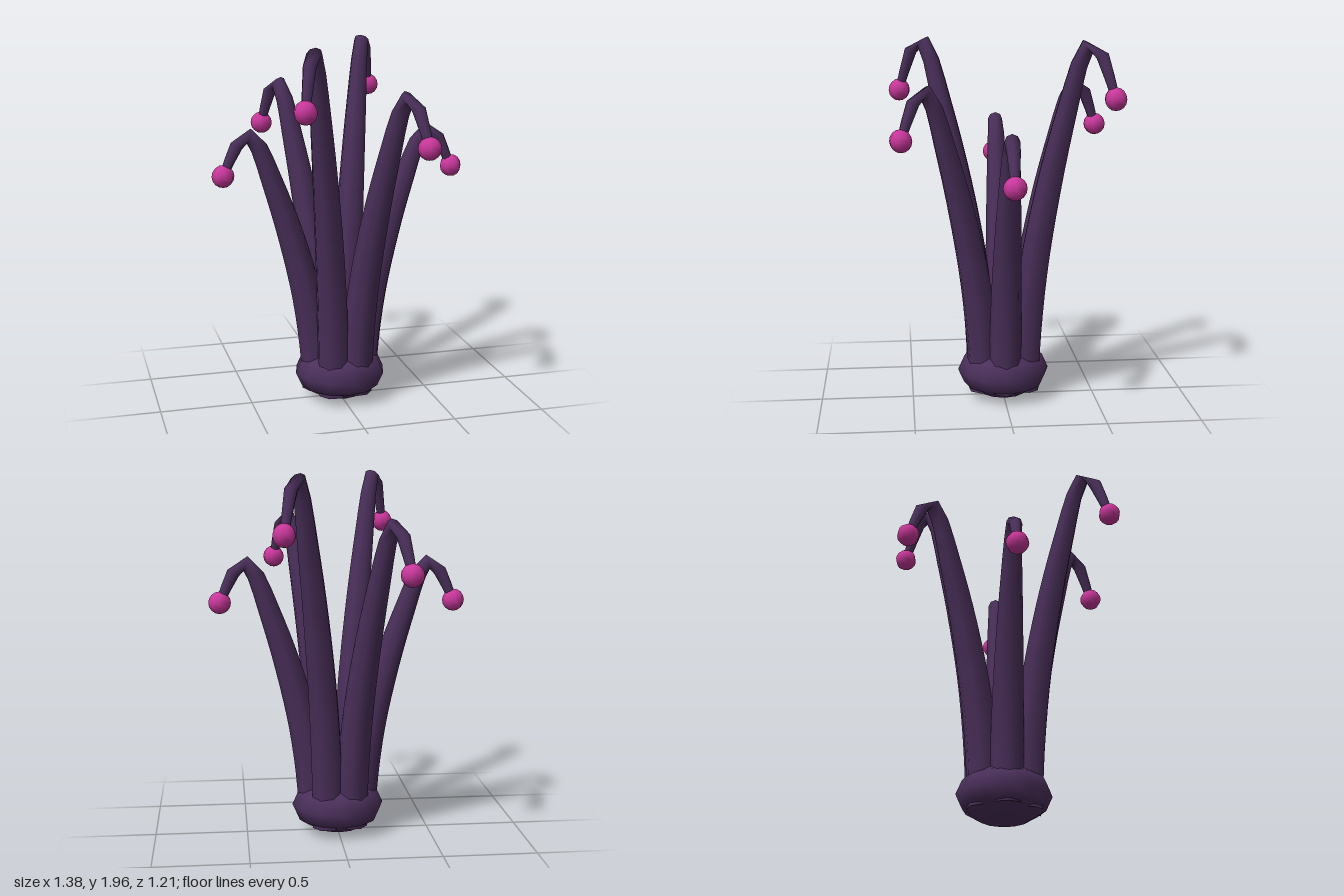
import * as THREE from 'three';

const purple = new THREE.MeshStandardMaterial({ color: 0x4a2f5a });
purple.name = 'dark purple';
const pink = new THREE.MeshStandardMaterial({ color: 0xc8379b });
pink.name = 'pink';

const BASE_Y = 0.1;
// Radial distance and height of the shortest tentacle's centre line
const PATH = [[0.125, 0.07], [0.14, 0.3], [0.185, 0.6], [0.265, 0.92], [0.355, 1.2],
  [0.455, 1.455], [0.495, 1.488], [0.54, 1.46], [0.63, 1.28]];

// Tapered tube following a curve
function taperedTube(curve, segments, sides, radiusAt) {
  const geo = new THREE.TubeGeometry(curve, segments, 1, sides);
  const pos = geo.attributes.position;
  const v = new THREE.Vector3();
  for (let i = 0; i <= segments; i++) {
    const centre = curve.getPointAt(i / segments);
    for (let j = 0; j <= sides; j++) {
      const k = i * (sides + 1) + j;
      v.fromBufferAttribute(pos, k).sub(centre).multiplyScalar(radiusAt(i / segments)).add(centre);
      pos.setXYZ(k, v.x, v.y, v.z);
    }
  }
  return geo;
}

// One drooping tentacle with a ball at the tip, pointing along +x
function makeTentacle(stretch) {
  const group = new THREE.Group();
  group.name = 'tentacle';
  const points = PATH.map(([r, y]) => new THREE.Vector3(r, BASE_Y + (y - BASE_Y) * stretch, 0));
  const curve = new THREE.CatmullRomCurve3(points, false, 'centripetal');
  const stalk = new THREE.Mesh(taperedTube(curve, 20, 8, (u) => 0.088 - 0.066 * u * u), purple);
  stalk.name = 'stalk';
  const ball = new THREE.Mesh(new THREE.SphereGeometry(0.06, 8, 8), pink);
  ball.name = 'tipBall';
  ball.position.copy(points[points.length - 1]);
  group.add(stalk, ball);
  return group;
}

export function createModel() {
  const model = new THREE.Group();
  model.name = 'tentaclePlant';

  // Squashed bulb at the foot
  const bulbGeo = new THREE.SphereGeometry(0.25, 12, 6);
  bulbGeo.scale(1, 0.6, 1);
  const bulb = new THREE.Mesh(bulbGeo, purple);
  bulb.name = 'bulb';
  bulb.position.y = 0.155;
  model.add(bulb);

  // Six tentacles in three heights, opposite pairs alike
  const stretches = [1, 1.335, 1.165];
  for (let i = 0; i < 6; i++) {
    const tentacle = makeTentacle(stretches[i % 3]);
    tentacle.rotation.y = (i * Math.PI) / 3;
    model.add(tentacle);
  }
  return model;
}
